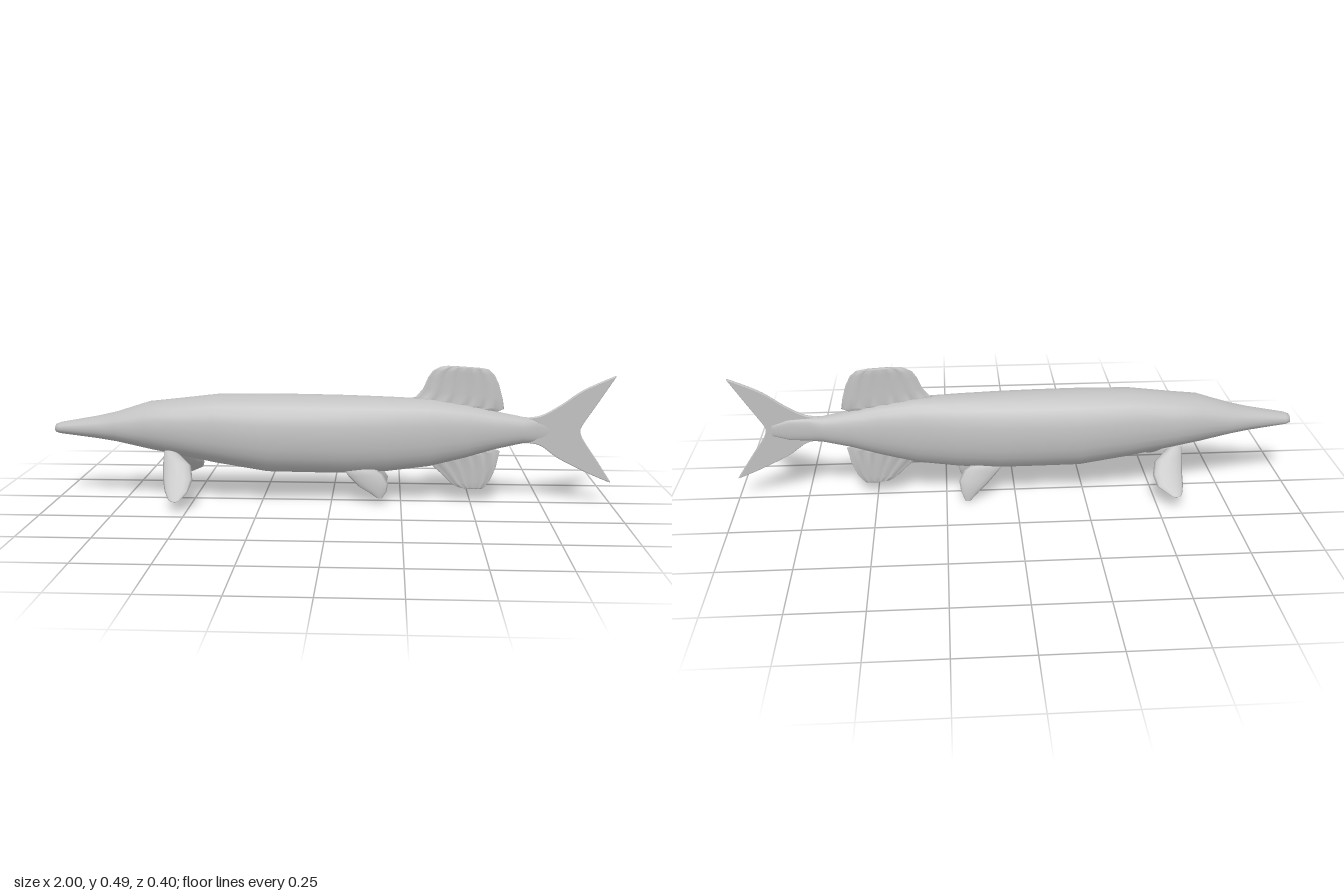
import * as THREE from 'three';

const V = (x, y, z) => new THREE.Vector3(x, y, z);

// Skin over oval rings {c: centre, u, v: half axes}, closed at both ends.
function loft(rings, sides, power = 1, ripple = 0) {
  const pos = [], idx = [], n = rings.length;
  const soft = t => Math.sign(t) * Math.abs(t) ** power;
  for (const { c, u, v } of rings) {
    for (let j = 0; j < sides; j++) {
      const a = (j / sides) * Math.PI * 2;
      const wave = 1 + ripple * Math.cos(18 * Math.cos(a));
      const p = c.clone().addScaledVector(u, soft(Math.cos(a))).addScaledVector(v, soft(Math.sin(a)) * wave);
      pos.push(p.x, p.y, p.z);
    }
  }
  const first = n * sides;
  for (const r of [rings[0], rings[n - 1]]) pos.push(r.c.x, r.c.y, r.c.z);
  for (let j = 0; j < sides; j++) {
    const k = (j + 1) % sides, e = (n - 1) * sides;
    for (let i = 0; i < n - 1; i++) {
      const a = i * sides, b = a + sides;
      idx.push(a + j, a + k, b + k, a + j, b + k, b + j);
    }
    idx.push(first, k, j, first + 1, e + j, e + k);
  }
  // Turn the faces outward whichever way the rings run
  let volume = 0;
  const at = i => V(pos[3 * i], pos[3 * i + 1], pos[3 * i + 2]).sub(rings[0].c);
  for (let i = 0; i < idx.length; i += 3) volume += at(idx[i]).dot(at(idx[i + 1]).cross(at(idx[i + 2])));
  if (volume < 0) idx.reverse();
  const g = new THREE.BufferGeometry();
  g.setAttribute('position', new THREE.Float32BufferAttribute(pos, 3));
  g.setIndex(idx);
  g.computeVertexNormals();
  return g;
}

// Fin from chords: leading point, trailing point, half thickness along a normal
function fin(chords, normal, sides = 12, ripple = 0) {
  const rings = chords.map(([a, b, t]) => ({
    c: a.clone().add(b).multiplyScalar(0.5),
    u: a.clone().sub(b).multiplyScalar(0.5),
    v: normal.clone().multiplyScalar(t),
  }));
  return loft(rings, sides, 1, ripple);
}

export function createModel() {
  const fish = new THREE.Group();
  fish.name = 'fish';
  const skin = new THREE.MeshStandardMaterial({ color: 0xc0c0c0 });
  skin.name = 'grey skin';
  const add = (geometry, name) => {
    const mesh = new THREE.Mesh(geometry, skin);
    mesh.name = name;
    fish.add(mesh);
    return mesh;
  };

  // Body: x, top, bottom, half width
  const body = [
    [-1, 0.274, 0.245, 0.024], [-0.985, 0.28, 0.24, 0.03], [-0.85, 0.304, 0.224, 0.051],
    [-0.78, 0.32, 0.214, 0.067], [-0.66, 0.359, 0.188, 0.088], [-0.57, 0.369, 0.17, 0.094],
    [-0.41, 0.388, 0.138, 0.104], [-0.23, 0.391, 0.109, 0.109], [-0.08, 0.39, 0.107, 0.106],
    [0.06, 0.388, 0.106, 0.1], [0.2, 0.384, 0.114, 0.088], [0.35, 0.378, 0.133, 0.073],
    [0.48, 0.358, 0.166, 0.057], [0.58, 0.335, 0.197, 0.045], [0.68, 0.315, 0.22, 0.032],
    [0.73, 0.31, 0.224, 0.014], [0.8, 0.305, 0.228, 0.009], [0.86, 0.285, 0.245, 0.004],
  ];
  add(loft(body.map(([x, top, low, w]) => ({
    c: V(x, (top + low) / 2, 0), u: V(0, (top - low) / 2, 0), v: V(0, 0, w),
  })), 24, 0.9), 'body');

  // Upright fins on the midline, with shallow rays
  const side = V(0, 0, 1);
  const upright = rows => rows.map(([x1, y1, x2, y2, t]) => [V(x1, y1, 0), V(x2, y2, 0), t]);
  add(fin(upright([
    [0.26, 0.37, 0.57, 0.325, 0.014], [0.3, 0.385, 0.612, 0.343, 0.012],
    [0.325, 0.415, 0.606, 0.38, 0.01], [0.342, 0.455, 0.592, 0.43, 0.009],
    [0.358, 0.478, 0.575, 0.465, 0.009], [0.385, 0.493, 0.555, 0.484, 0.009], [0.41, 0.496, 0.53, 0.489, 0.006],
  ]), side, 48, 0.25), 'dorsalFin');
  add(fin(upright([
    [0.33, 0.16, 0.55, 0.21, 0.014], [0.36, 0.135, 0.602, 0.19, 0.012],
    [0.4, 0.1, 0.588, 0.125, 0.01], [0.43, 0.07, 0.568, 0.08, 0.009],
    [0.455, 0.055, 0.55, 0.056, 0.008], [0.48, 0.05, 0.54, 0.049, 0.005],
  ]), side, 48, 0.25), 'analFin');

  // Forked tail
  const tail = new THREE.Shape();
  tail.moveTo(0.67, 0.31);
  tail.splineThru([[0.74, 0.319], [0.81, 0.357], [0.89, 0.413], [0.997, 0.463]].map(p => new THREE.Vector2(...p)));
  tail.splineThru([[0.94, 0.372], [0.888, 0.29], [0.88, 0.265]].map(p => new THREE.Vector2(...p)));
  tail.splineThru([[0.892, 0.235], [0.94, 0.165], [0.995, 0.082]].map(p => new THREE.Vector2(...p)));
  tail.splineThru([[0.91, 0.118], [0.81, 0.168], [0.74, 0.216], [0.67, 0.225]].map(p => new THREE.Vector2(...p)));
  const tailShape = new THREE.ExtrudeGeometry(tail, {
    depth: 0.004, bevelEnabled: true, bevelThickness: 0.004, bevelSize: 0.003, bevelOffset: -0.001,
    bevelSegments: 2, curveSegments: 10,
  });
  add(tailShape, 'tailFin').position.z = 0.003;

  // Paired fins, slightly posed apart on the two sides
  for (const s of [1, -1]) {
    const name = s > 0 ? 'front' : 'back';
    const dx = s > 0 ? 0 : -0.02, dy = s > 0 ? 0 : 0.014;
    add(fin([
      [V(-0.595, 0.19, 0.07 * s), V(-0.54, 0.18, 0.07 * s), 0.015],
      [V(-0.595, 0.15, 0.095 * s), V(-0.495, 0.145, 0.095 * s), 0.015],
      [V(-0.59, 0.108 + dy / 2, 0.13 * s), V(-0.485, 0.102 + dy / 2, 0.13 * s), 0.013],
      [V(-0.578 + dx / 2, 0.07 + dy, 0.165 * s), V(-0.497, 0.066 + dy, 0.165 * s), 0.008],
      [V(-0.56 + dx, 0.045 + dy, 0.193 * s), V(-0.522 + dx, 0.042 + dy, 0.193 * s), 0.004],
      [V(-0.55 + dx, 0.041 + dy, 0.199 * s), V(-0.532 + dx, 0.04 + dy, 0.199 * s), 0.002],
    ], V(0, 0.7, 0.7 * s)), name + 'PectoralFin');

    const out = s > 0 ? 0.013 : 0.036, drop = s > 0 ? 0.022 : 0;
    add(fin([
      [V(0.04, 0.13, 0.04 * s), V(0.15, 0.135, 0.04 * s), 0.012],
      [V(0.065, 0.1, 0.048 * s), V(0.185, 0.11, 0.046 * s), 0.013],
      [V(0.1, 0.066, (0.046 + out * 0.5) * s), V(0.204, 0.076, (0.046 + out * 0.4) * s), 0.012],
      [V(0.135, 0.035 + drop / 2, (0.046 + out * 0.8) * s), V(0.198, 0.038 + drop / 2, (0.046 + out * 0.8) * s), 0.008],
      [V(0.165, 0.004 + drop, (0.046 + out) * s), V(0.182, 0.002 + drop, (0.046 + out) * s), 0.004],
    ], V(0, 0.3, 0.95 * s)), name + 'PelvicFin');
  }
  return fish;
}
